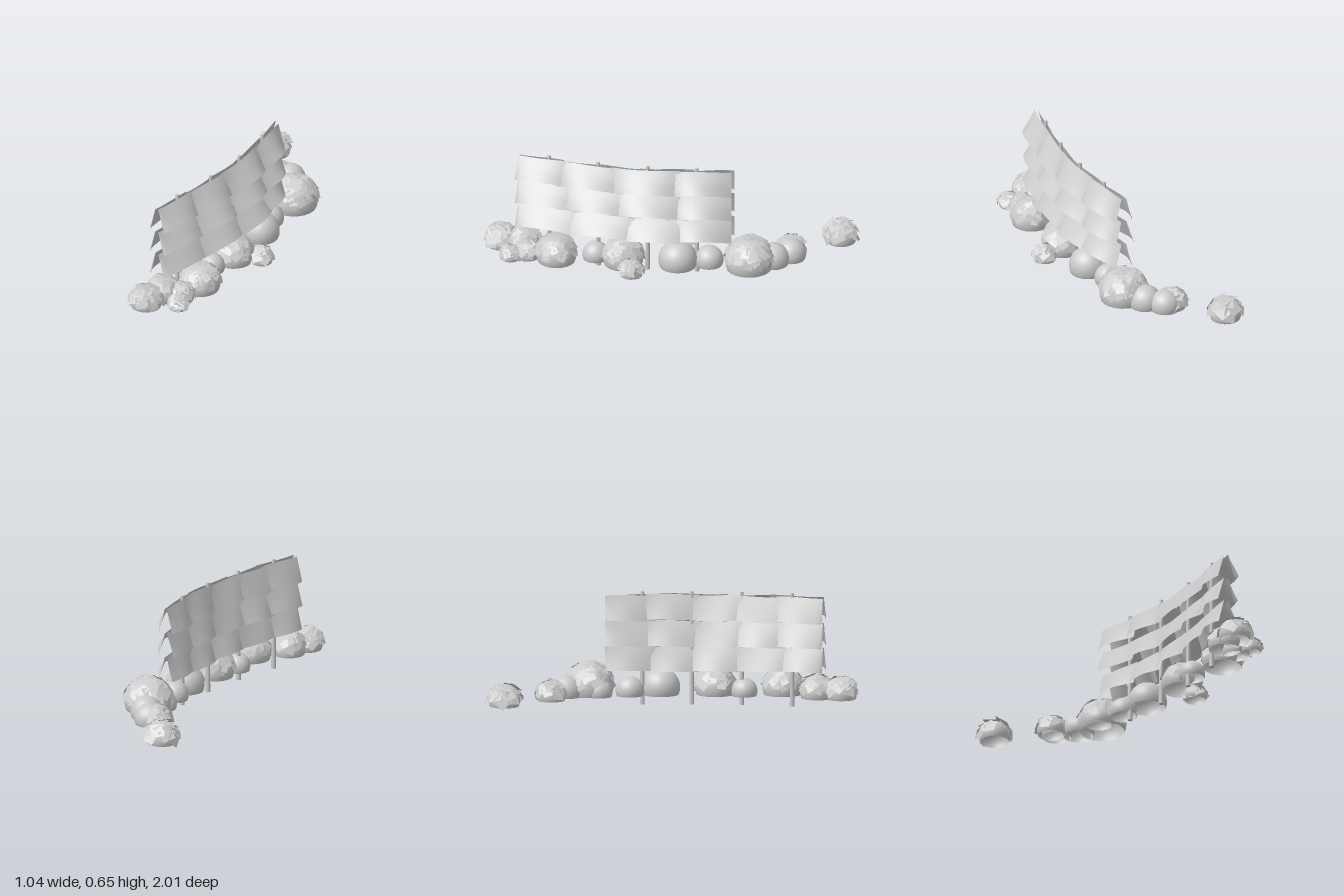
import * as THREE from 'three';
import { mergeGeometries } from 'three/addons/utils/BufferGeometryUtils.js';

const material = new THREE.MeshStandardMaterial({ color: 0xcccccc, side: THREE.DoubleSide });

// Seeded random numbers
let seed = 11;
const rand = (a = 0, b = 1) => {
  seed = (seed * 16807) % 2147483647;
  return a + (b - a) * (seed / 2147483647);
};

function addMesh(parent, geometry, name) {
  const mesh = new THREE.Mesh(geometry, material);
  mesh.name = name;
  parent.add(mesh);
  return mesh;
}

// Curved line of the fence on the ground
const line = new THREE.CatmullRomCurve3(
  [[0.065, -0.43], [0.14, -0.23], [0.22, 0.04], [0.26, 0.32], [0.28, 0.61], [0.285, 0.79]]
    .map(([x, z]) => new THREE.Vector3(x, 0, z)));

// Thin shingle along the line from u0 to u1: its lower edge flares out and bows in the middle
function shingle(u0, u1, top, side, { near, flare, bow, drop, raise }) {
  const across = 10, down = 3;
  const geo = new THREE.PlaneGeometry(1, 1, across, down);
  const pos = geo.attributes.position;
  const phase = rand(0, 6), lift = rand(-0.006, 0.006), push = rand(-0.006, 0.008);
  for (let i = 0; i < pos.count; i++) {
    const s = pos.getX(i) + 0.5, t = 0.5 - pos.getY(i);
    const u = THREE.MathUtils.clamp(u0 + (u1 - u0) * s, 0, 1);
    const p = line.getPointAt(u), d = line.getTangentAt(u);
    const arch = Math.sin(Math.PI * s), wave = Math.sin(s * 5 + phase) * 0.006;
    const out = side * (near + (flare - near + bow * arch + push + wave) * t);
    const y = top + lift + wave * 0.6 - (drop - raise * arch) * t;
    pos.setXYZ(i, p.x + d.z * out, y, p.z - d.x * out);
  }
  geo.computeVertexNormals();
  return geo;
}

// Dome-shaped bush with an open base, optionally covered in square leaves
function bush(parent, x, z, r, leaves, size) {
  const group = new THREE.Group();
  group.name = leaves ? 'leafyBush' : 'smoothBush';
  group.position.set(x, 0.048 + 0.37 * r, z);
  addMesh(group, new THREE.SphereGeometry(r * 0.96, 20, 12, 0, Math.PI * 2, 0, 1.95), 'bushDome');
  const list = [];
  const forward = new THREE.Vector3(0, 0, 1);
  for (let i = 0; i < leaves; i++) {
    // Spiral over the upper part of the dome
    const y = 1 - 0.88 * (i + 0.5) / leaves, a = i * 2.4 + rand(-0.2, 0.2);
    const w = Math.sqrt(1 - y * y);
    const n = new THREE.Vector3(Math.cos(a) * w, y, Math.sin(a) * w);
    const tilted = n.clone().add(new THREE.Vector3(rand(-0.25, 0.25), rand(0, 0.3), rand(-0.25, 0.25))).normalize();
    const leaf = new THREE.PlaneGeometry(size, size * rand(0.8, 1.1));
    leaf.rotateZ(rand(0, 3));
    leaf.applyQuaternion(new THREE.Quaternion().setFromUnitVectors(forward, tilted));
    n.multiplyScalar(r * 0.98);
    leaf.translate(n.x, n.y, n.z);
    list.push(leaf);
  }
  if (leaves) addMesh(group, mergeGeometries(list), 'leaves');
  parent.add(group);
}

export function createModel() {
  seed = 11;
  const model = new THREE.Group();
  model.name = 'curvedShingleFence';

  // Posts
  for (const [x, z] of [[0.14, -0.23], [0.215, 0.04], [0.26, 0.32], [0.278, 0.61]]) {
    addMesh(model, new THREE.CylinderGeometry(0.01, 0.014, 0.648, 12), 'post').position.set(x, 0.324, z);
  }

  // Three tiers: five steep shingles on the hollow face, longer bowed ones on the bulging face
  const steep = { near: 0.008, flare: 0.045, bow: 0.025, drop: 0.14, raise: 0 };
  const bowed = { near: 0.014, flare: 0.06, bow: 0.055, drop: 0.14, raise: 0.035 };
  [0.628, 0.482, 0.338].forEach((top, tier) => {
    const inner = new THREE.Group(), outer = new THREE.Group();
    inner.name = 'innerShingles';
    outer.name = 'outerShingles';
    for (let i = 0; i < 5; i++) {
      addMesh(inner, shingle(i / 5 - 0.015, (i + 1) / 5 + 0.03, top, -1, steep), 'shingle');
    }
    for (let i = 0; i < 4; i++) {
      const u0 = Math.max(0.015, i / 4 - 0.04 * tier);
      addMesh(outer, shingle(u0, (i + 1) / 4 + 0.06, top, 1, bowed), 'shingle');
    }
    model.add(inner, outer);
  });

  // Bushes along the foot of the fence: x, z, radius, leaf count, leaf size
  const bushes = [
    [-0.405, -0.9, 0.093, 18, 0.08],
    [-0.145, -0.69, 0.085, 24, 0.06],
    [-0.1, -0.71, 0.09, 0, 0],
    [0, -0.64, 0.095, 0, 0],
    [0.1, -0.53, 0.143, 75, 0.05],
    [0.05, -0.46, 0.08, 0, 0],
    [0.13, -0.3, 0.085, 0, 0],
    [0.21, -0.14, 0.115, 0, 0],
    [0.415, 0.065, 0.068, 20, 0.055],
    [0.29, 0.16, 0.12, 50, 0.05],
    [0.28, 0.33, 0.078, 0, 0],
    [0.38, 0.53, 0.12, 65, 0.045],
    [0.39, 0.7, 0.08, 28, 0.05],
    [0.45, 0.78, 0.06, 26, 0.05],
    [0.3, 0.75, 0.1, 35, 0.05],
    [0.3, 0.89, 0.094, 30, 0.065],
  ];
  for (const b of bushes) bush(model, ...b);

  return model;
}
